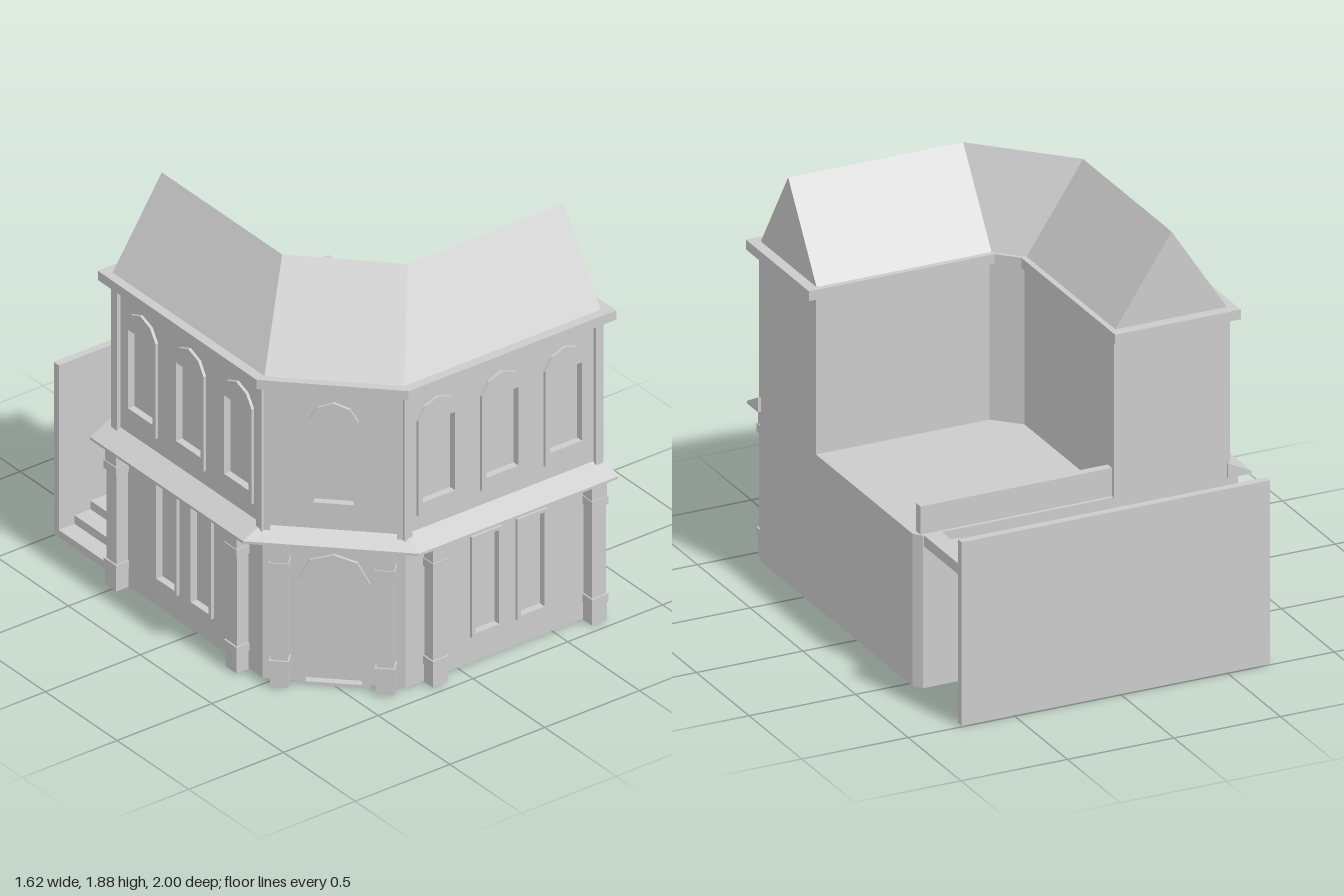
import * as THREE from 'three';

const grey = new THREE.MeshStandardMaterial({ color: 0xcccccc, flatShading: true });
const greyThin = new THREE.MeshStandardMaterial({ color: 0xcccccc, flatShading: true, side: THREE.DoubleSide });

function add(parent, name, geometry, material = grey) {
  const mesh = new THREE.Mesh(geometry, material);
  mesh.name = name;
  parent.add(mesh);
  return mesh;
}

// Box given by its lower and upper corners
function box(parent, name, [x0, y0, z0], [x1, y1, z1]) {
  const g = new THREE.BoxGeometry(x1 - x0, y1 - y0, z1 - z0);
  g.translate((x0 + x1) / 2, (y0 + y1) / 2, (z0 + z1) / 2);
  return add(parent, name, g);
}

const shapeOf = (pts) => new THREE.Shape(pts.map(([x, y]) => new THREE.Vector2(x, y)));

// Horizontal plate from a plan outline in x, z
function slab(plan, y0, y1) {
  const g = new THREE.ExtrudeGeometry(shapeOf(plan.map(([x, z]) => [x, -z])), { depth: y1 - y0, bevelEnabled: false });
  return g.rotateX(-Math.PI / 2).translate(0, y0, 0);
}

// Skin over matching cross-sections; closed sections get end caps
function loft(sections, closed) {
  const n = sections[0].length, pos = [];
  const tri = (...p) => p.forEach((v) => pos.push(...v));
  for (let i = 0; i < sections.length - 1; i++) {
    const a = sections[i], b = sections[i + 1];
    for (let j = 0; j < (closed ? n : n - 1); j++) {
      const k = (j + 1) % n;
      tri(a[j], b[j], b[k]);
      tri(a[j], b[k], a[k]);
    }
  }
  if (closed) {
    const a = sections[0], b = sections[sections.length - 1];
    for (let j = 1; j < n - 1; j++) {
      tri(a[0], a[j], a[j + 1]);
      tri(b[0], b[j + 1], b[j]);
    }
  }
  const g = new THREE.BufferGeometry();
  g.setAttribute('position', new THREE.Float32BufferAttribute(pos, 3));
  g.computeVertexNormals();
  return g;
}

const wallStrip = (plan, y0, y1) => loft(plan.map(([x, z]) => [[x, y0, z], [x, y1, z]]), false);

const rect = (w, y0, y1) => [[-w, y0], [w, y0], [w, y1], [-w, y1]];
const arch = (w, y0, spring, shoulder, peak) => [
  [-w, y0], [w, y0], [w, spring], [w * 0.65, shoulder], [0, peak], [-w * 0.65, shoulder], [-w, spring]];

// Outer frame outline and opening of each kind
const openings = {
  upperWindow: { frame: arch(0.107, 0.835, 1.3, 1.36, 1.387), hole: rect(0.085, 0.895, 1.28) },
  lowerWindow: { frame: rect(0.08, 0.135, 0.63), hole: rect(0.063, 0.153, 0.615) },
  door: { frame: arch(0.155, 0, 0.51, 0.61, 0.642), hole: arch(0.12, 0.015, 0.49, 0.53, 0.552) },
};

function column(parent, x) {
  const g = new THREE.Group();
  g.name = 'column';
  g.position.x = x;
  parent.add(g);
  // half width, bottom, top, projection
  const parts = {
    columnBase: [0.039, 0.005, 0.095, 0.064], lowerBand: [0.043, 0.095, 0.135, 0.068],
    shaft: [0.036, 0.135, 0.575, 0.06], upperBand: [0.043, 0.575, 0.615, 0.068],
    capital: [0.039, 0.615, 0.702, 0.064],
  };
  for (const [name, [w, y0, y1, d]] of Object.entries(parts)) box(g, name, [-w, y0, -0.04], [w, y1, d]);
}

// Decorated wall: local x runs along it, local z points outwards
function facade(parent, name, pos, angle, x0, x1, list, columns, pilasters) {
  const g = new THREE.Group();
  g.name = name;
  g.position.set(pos[0], 0, pos[1]);
  g.rotation.y = angle;
  parent.add(g);
  const wall = shapeOf([[x0, 0.008], [x1, 0.008], [x1, 1.445], [x0, 1.445]]);
  for (const [kind, x] of list) {
    const move = (pts) => pts.map(([px, py]) => [px + x, py]);
    const hole = move(openings[kind].hole);
    wall.holes.push(shapeOf(hole));
    const frame = shapeOf(move(openings[kind].frame));
    frame.holes.push(shapeOf(hole));
    add(g, kind + 'Frame', new THREE.ExtrudeGeometry(frame, { depth: 0.014, bevelEnabled: false }));
    add(g, kind + 'Panel', new THREE.ShapeGeometry(shapeOf(hole)), greyThin).position.z = -0.02;
  }
  add(g, 'wall', new THREE.ExtrudeGeometry(wall, { depth: 0.022, bevelEnabled: false })).position.z = -0.022;
  columns.forEach((x) => column(g, x));
  pilasters.forEach((x) => box(g, 'pilaster', [x - 0.02, 0.72, -0.01], [x + 0.02, 1.442, 0.02]));
}

export function createModel() {
  const model = new THREE.Group();
  model.name = 'cornerHouse';

  // Two matching long facades either side of the cut-off entrance corner
  const layout = [['upperWindow', 0.165], ['upperWindow', 0.5], ['upperWindow', 0.835], ['lowerWindow', 0.42], ['lowerWindow', 0.66]];
  const cols = [0.135, 0.975], pils = [0.0, 1.01];
  const flip = (a) => a.map((x) => -x);
  facade(model, 'frontFacade', [-0.28, 0.9], 0, 0, 1.035, layout, cols, pils);
  facade(model, 'sideFacade', [-0.71, 0.47], -Math.PI / 2, -1.058, 0,
    layout.map(([k, x]) => [k, -x]), flip(cols), flip(pils));
  facade(model, 'entranceFacade', [-0.495, 0.685], -Math.PI / 4, -0.304, 0.304,
    [['upperWindow', 0], ['door', 0]], [-0.225, 0.225], [-0.29, 0.29]);

  // Plain walls and the floor that doubles as the terrace
  const back = [[0.755, 0.9], [0.755, -0.545], [0.725, -0.585], [-0.71, -0.585]];
  add(model, 'lowerWalls', wallStrip(back, 0.008, 0.71), greyThin);
  const court = [[0.755, 0.9], [0.755, 0.37], [-0.06, 0.37], [-0.17, 0.26], [-0.17, -0.588], [-0.71, -0.588]];
  add(model, 'upperWalls', wallStrip(court, 0.7, 1.445), greyThin);
  const floor = [...back, [-0.71, 0.47], [-0.28, 0.9]].map(([x, z]) => [x, -z]);
  const floorMesh = add(model, 'terraceFloor', new THREE.ShapeGeometry(shapeOf(floor)), greyThin);
  floorMesh.rotation.x = -Math.PI / 2;
  floorMesh.position.y = 0.71;
  box(model, 'parapet', [-0.17, 0.7, -0.57], [0.73, 0.84, -0.53]);

  // Sloped ledge between the storeys
  const inner = [[-0.7, -0.6], [-0.7, 0.466], [-0.276, 0.89], [0.77, 0.89]];
  const outer = [[-0.81, -0.6], [-0.81, 0.465], [-0.28, 0.995], [0.77, 0.995]];
  add(model, 'ledge', loft(inner.map(([x, z], i) => {
    const [ox, oz] = outer[i];
    return [[x, 0.7, z], [ox, 0.7, oz], [ox, 0.712, oz], [x, 0.768, z]];
  }), true), greyThin);

  // Eaves and gabled roof that turns the corner
  add(model, 'eaves', slab([[-0.74, -0.64], [-0.745, 0.475], [-0.29, 0.935], [0.805, 0.935],
    [0.805, 0.335], [-0.065, 0.335], [-0.15, 0.25], [-0.15, -0.64]], 1.44, 1.485));
  const stations = [ // outer foot, ridge, inner foot
    [[-0.7, -0.59], [-0.44, -0.59], [-0.175, -0.59]],
    [[-0.7, 0.47], [-0.44, 0.25], [-0.175, 0.25]],
    [[-0.28, 0.89], [-0.065, 0.63], [-0.065, 0.36]],
    [[0.757, 0.89], [0.757, 0.63], [0.757, 0.36]],
  ];
  add(model, 'roof', loft(stations.map((s) => s.map(([x, z], i) => [x, i === 1 ? 1.883 : 1.484, z])), true), greyThin);

  // Open-backed stair climbing to the terrace, with its outer wall
  const stairs = new THREE.Group();
  stairs.name = 'stairs';
  model.add(stairs);
  const n = 17, run = 1.42 / n, rise = 0.71 / n;
  for (let i = 0; i < n; i++) {
    const x = -0.7 + i * run;
    box(stairs, 'step', [x, Math.max(0.005, i * rise - 0.008), -0.97], [x + run + (i < n - 1 ? 0.012 : 0), (i + 1) * rise, -0.58]);
  }
  box(stairs, 'stairWall', [-0.7, 0.005, -1], [0.75, 0.85, -0.965]);

  return model;
}
